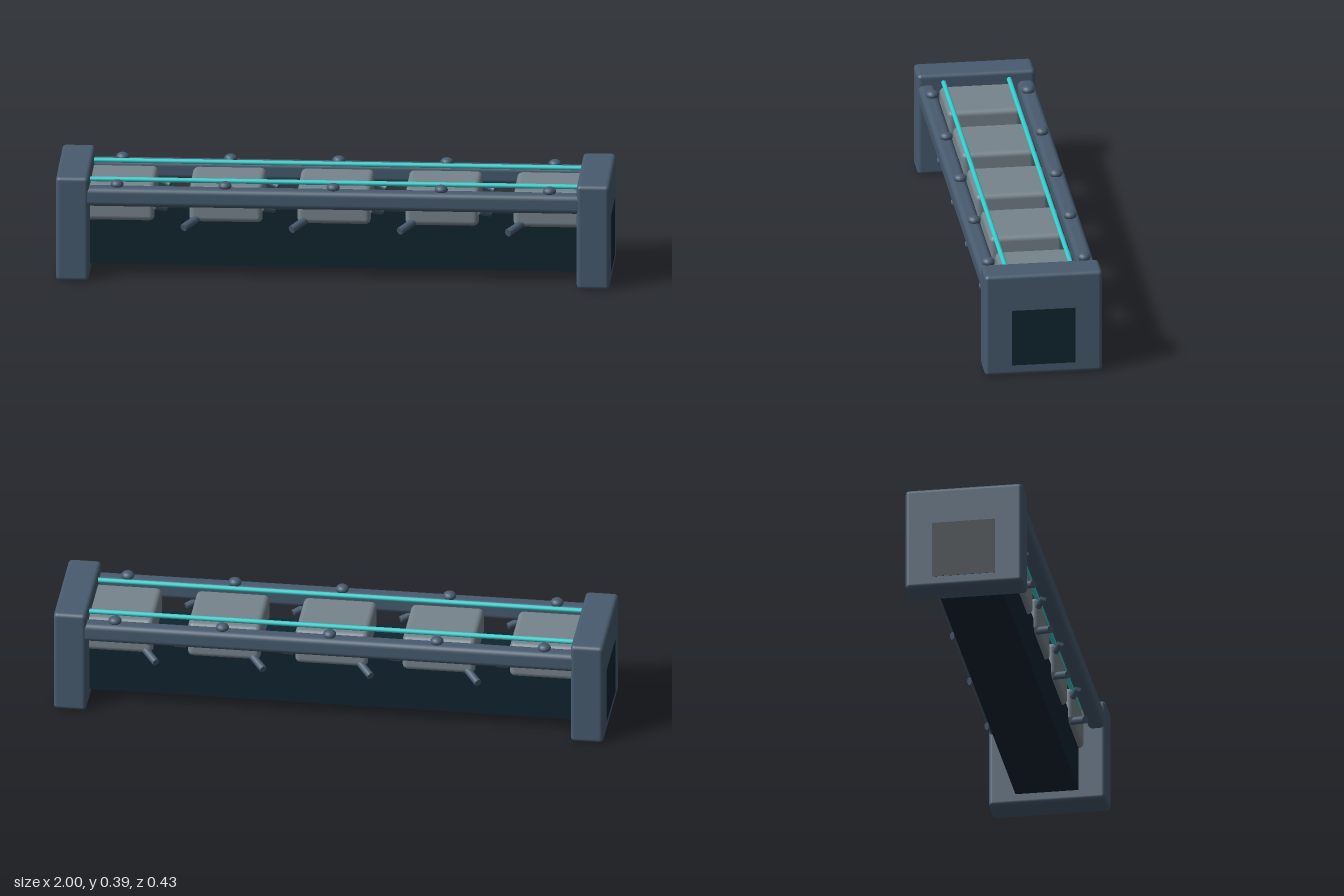
import * as THREE from 'three';
import { RoundedBoxGeometry } from 'three/addons/geometries/RoundedBoxGeometry.js';

const material = (name, color) => {
  const m = new THREE.MeshStandardMaterial({ color });
  m.name = name;
  return m;
};

export function createModel() {
  const slate = material('slate frame', 0x475b6e);
  const dark = material('dark core', 0x10252f);
  const grey = material('grey plate', 0x77848d);
  const cyan = material('cyan line', 0x35cccc);

  const model = new THREE.Group();
  model.name = 'railModule';

  const add = (name, geometry, mat, x, y, z) => {
    const mesh = new THREE.Mesh(geometry, mat);
    mesh.name = name;
    mesh.position.set(x, y, z);
    model.add(mesh);
    return mesh;
  };

  // Short round bar between two points
  const bar = (name, a, b, radius) => {
    const from = new THREE.Vector3(...a), to = new THREE.Vector3(...b);
    const dir = to.clone().sub(from);
    const mid = from.clone().add(to).multiplyScalar(0.5);
    const mesh = add(name, new THREE.CylinderGeometry(radius, radius, dir.length(), 10), slate, mid.x, mid.y, mid.z);
    mesh.quaternion.setFromUnitVectors(new THREE.Vector3(0, 1, 0), dir.normalize());
  };

  // Core running the whole length, just showing through both end caps
  add('core', new THREE.BoxGeometry(2, 0.213, 0.23), dark, 0, 0.146, 0);

  // End caps
  for (const s of [-1, 1]) {
    add('endCap', new RoundedBoxGeometry(0.119, 0.39, 0.428, 3, 0.015), slate, s * 0.9395, 0.195, 0);
  }

  // Row of saddle plates over the core
  const spacing = 0.39;
  for (let i = -2; i <= 2; i++) {
    add('saddlePlate', new RoundedBoxGeometry(0.265, 0.135, 0.268, 3, 0.02), grey, i * spacing, 0.273, 0);
  }

  for (const s of [-1, 1]) {
    // Side rail and glowing line above the plates
    add('sideRail', new RoundedBoxGeometry(1.86, 0.07, 0.062, 3, 0.02), slate, 0, 0.315, s * 0.18);
    const line = add('glowLine', new THREE.CylinderGeometry(0.009, 0.009, 1.8, 12), cyan, 0, 0.359, s * 0.119);
    line.rotation.z = Math.PI / 2;

    // Domed bolts on the rail
    for (let i = -2; i <= 2; i++) {
      const bolt = add('bolt', new THREE.SphereGeometry(0.024, 16, 10), slate, i * spacing, 0.357, s * 0.174);
      bolt.scale.y = 0.7;
    }

    // Braces and pegs in the gaps between plates
    for (let i = -1.5; i <= 1.5; i++) {
      const x = i * spacing;
      bar('brace', [x - 0.06, 0.275, s * 0.17], [x - 0.02, 0.262, s * 0.145], 0.012);
      bar('peg', [x + 0.045, 0.199, s * 0.18], [x + 0.11, 0.226, s * 0.1], 0.014);
    }
  }
  return model;
}
